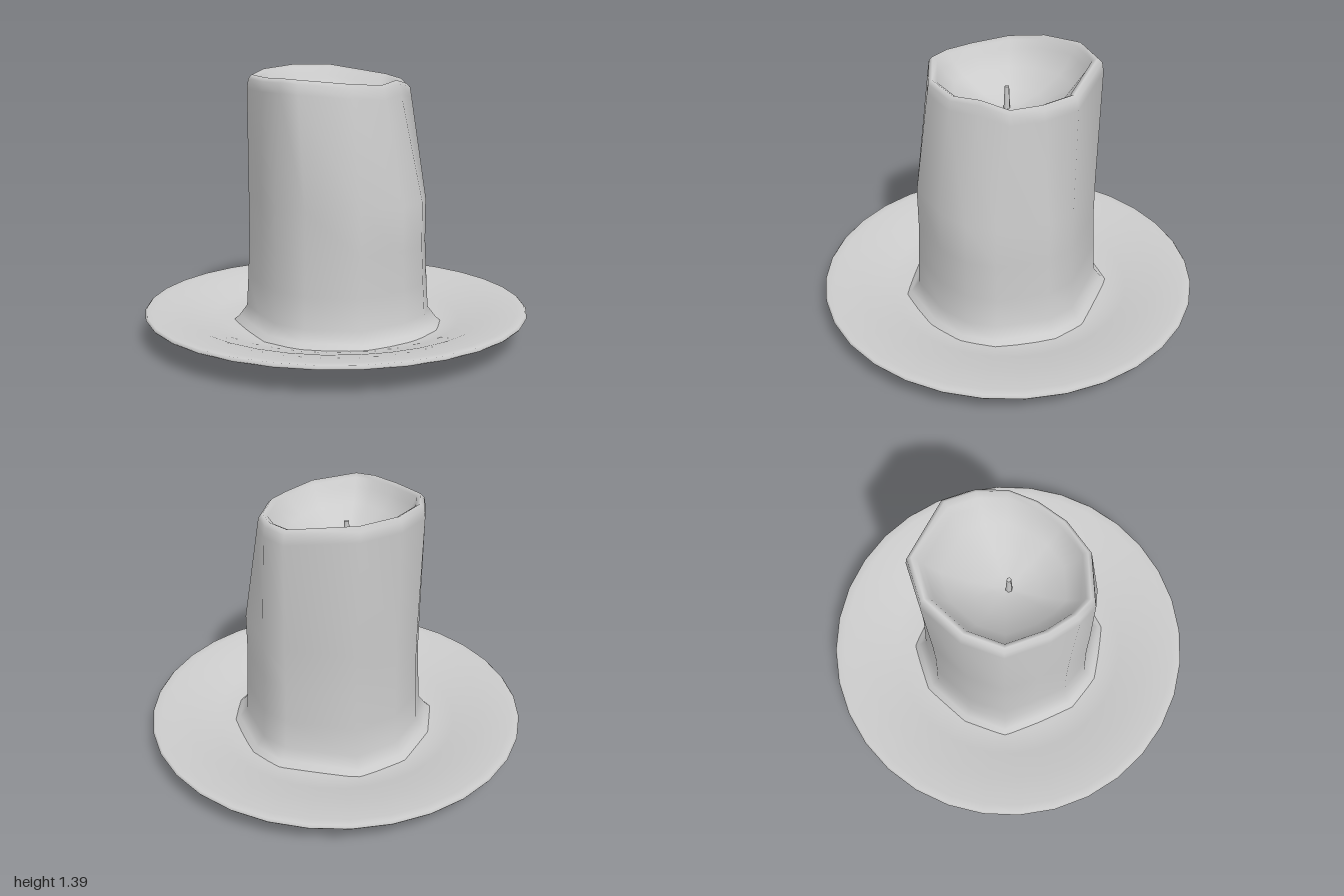
import * as THREE from 'three';

const material = new THREE.MeshStandardMaterial({ color: 0xcccccc });

// Irregular wax outline halfway up, and the melted lip at the top (same point order).
const body = [
  [0.03, -0.45], [0.18, -0.42], [0.39, -0.26], [0.46, -0.12], [0.46, 0.05], [0.38, 0.29], [0.15, 0.43],
  [-0.03, 0.44], [-0.19, 0.37], [-0.35, 0.29], [-0.425, 0.1], [-0.425, -0.14], [-0.31, -0.34],
];
const lip = [
  [0.02, 1.35, -0.43], [0.17, 1.33, -0.36], [0.28, 1.31, -0.25], [0.32, 1.33, -0.1], [0.34, 1.31, 0.06],
  [0.29, 1.32, 0.25], [0.11, 1.34, 0.42], [0, 1.345, 0.42], [-0.15, 1.345, 0.38], [-0.34, 1.355, 0.28],
  [-0.42, 1.38, 0.1], [-0.42, 1.4, -0.14], [-0.31, 1.4, -0.33],
];
const center = [-0.04, 0.03];

// Skin a stack of closed rings, finished with a single closing point.
function skinRings(rings, tip) {
  const n = rings[0].length;
  const index = [];
  for (let i = 0; i < rings.length; i++) {
    for (let j = 0; j < n; j++) {
      const a = i * n + j;
      const b = i * n + (j + 1) % n;
      if (i < rings.length - 1) index.push(a, a + n, b + n, a, b + n, b);
      else index.push(a, rings.length * n, b);
    }
  }
  const geometry = new THREE.BufferGeometry();
  geometry.setAttribute('position', new THREE.Float32BufferAttribute([...rings.flat(2), ...tip], 3));
  geometry.setIndex(index);
  geometry.computeVertexNormals();
  return geometry;
}

const wall = (scale, y, dx = 0) => body.map(([x, z]) => [x * scale + dx, y, z * scale]);
const rim = (scale, drop) => lip.map(([x, y, z]) => [
  center[0] + (x - center[0]) * scale, y - drop, center[1] + (z - center[1]) * scale,
]);
const bowl = (scale, y, follow) => rim(scale, 0).map(([x, ry, z]) => [x, y + (ry - 1.35) * follow, z]);

export function createModel() {
  const model = new THREE.Group();
  const add = (name, geometry) => {
    const mesh = new THREE.Mesh(geometry, material);
    mesh.name = name;
    model.add(mesh);
    return mesh;
  };

  // Shallow dish with a thin flat rim
  const profile = [
    [0, 0.005], [0.3, 0.015], [0.53, 0.03], [0.65, 0.065], [0.8, 0.13], [0.97, 0.13], [0.995, 0.135],
    [1, 0.143], [0.99, 0.154], [0.95, 0.152], [0.8, 0.135], [0.65, 0.085], [0.53, 0.06], [0, 0.045],
  ].map(([x, y]) => new THREE.Vector2(x, y));
  add('plate', new THREE.LatheGeometry(profile, 32));

  // Candle: spread foot, leaning wall, rounded lip and melted hollow
  add('candle', skinRings([
    wall(1.22, 0.05), wall(1.13, 0.085), wall(1.04, 0.14), wall(1.02, 0.3), wall(1, 0.5), wall(1, 0.72),
    rim(1.04, 0.07), rim(1.02, 0.02), rim(0.97, 0), rim(0.91, 0.015), rim(0.86, 0.06),
    bowl(0.7, 1.22, 0.5), bowl(0.4, 1.15, 0.2), bowl(0.15, 1.12, 0),
  ], [center[0], 1.115, center[1]]));

  // Short wick
  const wick = add('wick', new THREE.CylinderGeometry(0.012, 0.018, 0.13, 6));
  wick.position.set(-0.04, 1.17, 0.04);

  return model;
}
